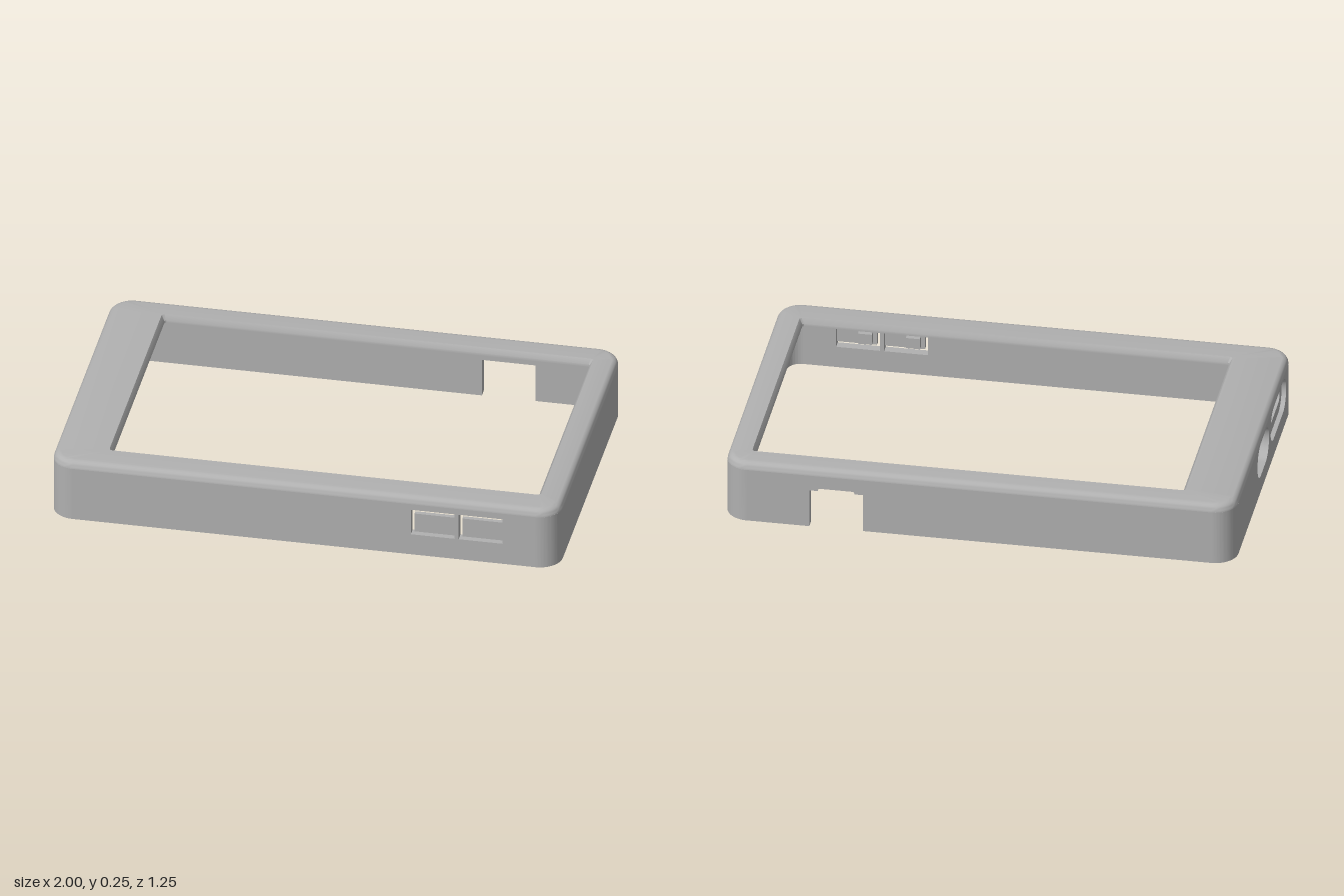
import * as THREE from 'three';
import { toCreasedNormals } from 'three/addons/utils/BufferGeometryUtils.js';

const HX = 1, HZ = 0.625;          // half length and half width
const R = 0.09, WALL = 0.036;      // corner radius and wall thickness
const SPLIT = 0.225, TOP = 0.255;  // top of the walls, top of the bezel
const SKIN = 0.018;                // thickness of each wall layer

// Points of a rounded rectangle at height y
function ring(x0, x1, z0, z1, r, y) {
  const pts = [], n = 8;
  const centres = [[x1 - r, z1 - r], [x0 + r, z1 - r], [x0 + r, z0 + r], [x1 - r, z0 + r]];
  centres.forEach(([cx, cz], k) => {
    for (let i = 0; i <= n; i++) {
      const a = (k + i / n) * Math.PI / 2;
      pts.push([cx + r * Math.cos(a), y, cz + r * Math.sin(a)]);
    }
  });
  return pts;
}

// Closed loft through a loop of rings
function loft(rings) {
  const pos = [], m = rings[0].length;
  rings.forEach((a, i) => {
    const b = rings[(i + 1) % rings.length];
    for (let j = 0; j < m; j++) {
      const k = (j + 1) % m;
      pos.push(...a[j], ...b[j], ...a[k], ...a[k], ...b[j], ...b[k]);
    }
  });
  const g = new THREE.BufferGeometry();
  g.setAttribute('position', new THREE.Float32BufferAttribute(pos, 3));
  return toCreasedNormals(g, 0.6);
}

const polygon = (pts, Type = THREE.Path) => new Type(pts.map(p => new THREE.Vector2(...p)));
const rect = (x0, x1, y0, y1, Type) => polygon([[x0, y0], [x1, y0], [x1, y1], [x0, y1]], Type);

// Horizontal capsule opening
function capsule(x0, x1, y, r) {
  const p = new THREE.Path();
  p.absarc(x1 - r, y, r, -Math.PI / 2, Math.PI / 2);
  p.absarc(x0 + r, y, r, Math.PI / 2, Math.PI * 1.5);
  p.closePath();
  return p;
}

// C-shaped slot that frees a flexible button on three sides
function cSlot(x0, x1, y0, y1, t = 0.015) {
  return polygon([[x0, y0], [x1, y0], [x1, y0 + t], [x0 + t, y0 + t],
    [x0 + t, y1 - t], [x1, y1 - t], [x1, y1], [x0, y1]]);
}

export function createModel() {
  const model = new THREE.Group();
  model.name = 'case';
  const grey = new THREE.MeshStandardMaterial({ color: 0xb0b0b0 });
  grey.name = 'grey plastic';

  const add = (parent, name, geometry) => {
    const mesh = new THREE.Mesh(geometry, grey);
    mesh.name = name;
    parent.add(mesh);
    return mesh;
  };
  const extrude = (shape, depth) => toCreasedNormals(
    new THREE.ExtrudeGeometry(shape, { depth, bevelEnabled: false, curveSegments: 12 }), 0.6);
  const box = (parent, name, x0, x1, y0, y1, z0, z1) =>
    add(parent, name, new THREE.BoxGeometry(x1 - x0, y1 - y0, z1 - z0))
      .position.set((x0 + x1) / 2, (y0 + y1) / 2, (z0 + z1) / 2);

  // Top bezel with rounded outer edge and chamfered window
  const inset = (d, y) => ring(-HX + d, HX - d, -HZ + d, HZ - d, R - d, y);
  const rings = [], f = TOP - SPLIT;
  for (let i = 0; i <= 6; i++) {
    const a = i / 6 * Math.PI / 2;
    rings.push(inset(f * (1 - Math.cos(a)), SPLIT + f * Math.sin(a)));
  }
  rings.push(ring(-0.79, 0.907, -0.527, 0.507, 0.014, TOP));
  rings.push(ring(-0.778, 0.895, -0.515, 0.495, 0.008, TOP - 0.02));
  rings.push(ring(-0.778, 0.895, -0.515, 0.495, 0.008, SPLIT));
  add(model, 'bezel', loft(rings));

  // Rounded corner columns
  const quarter = new THREE.Shape();
  quarter.absarc(0, 0, R, 0, Math.PI / 2, false);
  quarter.absarc(0, 0, R - WALL, Math.PI / 2, 0, true);
  quarter.closePath();
  const cornerGeo = extrude(quarter, SPLIT).rotateX(-Math.PI / 2);
  [[1, -1], [-1, -1], [-1, 1], [1, 1]].forEach(([sx, sz], k) => {
    const c = add(model, 'corner', cornerGeo);
    c.position.set(sx * (HX - R), 0, sz * (HZ - R));
    c.rotation.y = k * Math.PI / 2;
  });

  // Straight wall of two layers, drawn facing +z and then turned
  function wall(name, dist, angle, outer, inner) {
    const g = new THREE.Group();
    g.name = name;
    g.rotation.y = angle;
    model.add(g);
    add(g, name + 'Outer', extrude(outer, SKIN)).position.z = dist - SKIN;
    add(g, name + 'Inner', extrude(inner, WALL - SKIN)).position.z = dist - WALL;
    return g;
  }
  const panel = (half, holes = []) => {
    const s = rect(-half, half, 0, SPLIT, THREE.Shape);
    s.holes.push(...holes);
    return s;
  };
  const LX = HX - R, LZ = HZ - R;

  // Front wall with two flexible buttons
  const buttons = [[0.42, 0.592], [0.608, 0.78]];
  const front = wall('frontWall', HZ, 0,
    panel(LX, buttons.map(([a, b]) => cSlot(a, b, 0.09, 0.2))),
    panel(LX, buttons.map(([a, b]) => rect(a, b, 0.09, 0.2))));
  const inZ = HZ - WALL;
  buttons.forEach(([a]) =>
    box(front, 'buttonNub', a + 0.03, a + 0.085, 0.12, 0.165, inZ - 0.012, HZ - SKIN));
  box(front, 'frontLedge', -LX, LX, 0.205, SPLIT, inZ - 0.03, inZ);

  // Back wall with a cable notch and a shallow arch above it
  const notched = arch => {
    const s = new THREE.Shape(), c = -0.56, w = 0.105, h = 0.16, r = 0.075;
    s.moveTo(-LX, 0);
    s.lineTo(c - w, 0);
    s.lineTo(c - w, h);
    if (arch) s.absarc(c, h - 0.02, r, Math.PI - 0.27, 0.27, true);
    s.lineTo(c + w, h);
    s.lineTo(c + w, 0);
    s.lineTo(LX, 0);
    s.lineTo(LX, SPLIT);
    s.lineTo(-LX, SPLIT);
    return s;
  };
  wall('backWall', HZ, Math.PI, notched(true), notched(false));

  // Plain left wall
  wall('leftWall', HX, Math.PI / 2, panel(LZ), panel(LZ));

  // Right wall with a port opening and a slot in a capsule recess
  const port = () => capsule(-0.125, 0.125, 0.142, 0.072);
  const right = wall('rightWall', HX, -Math.PI / 2,
    panel(LZ, [port(), capsule(0.155, 0.495, 0.145, 0.07)]),
    panel(LZ, [port(), capsule(0.195, 0.45, 0.145, 0.027)]));
  const inX = HX - WALL;
  box(right, 'rightLedge', 0.16, 0.55, 0.205, SPLIT, inX - 0.03, inX);
  box(right, 'rightLedge', -0.55, -0.18, 0.205, SPLIT, inX - 0.03, inX);

  return model;
}
